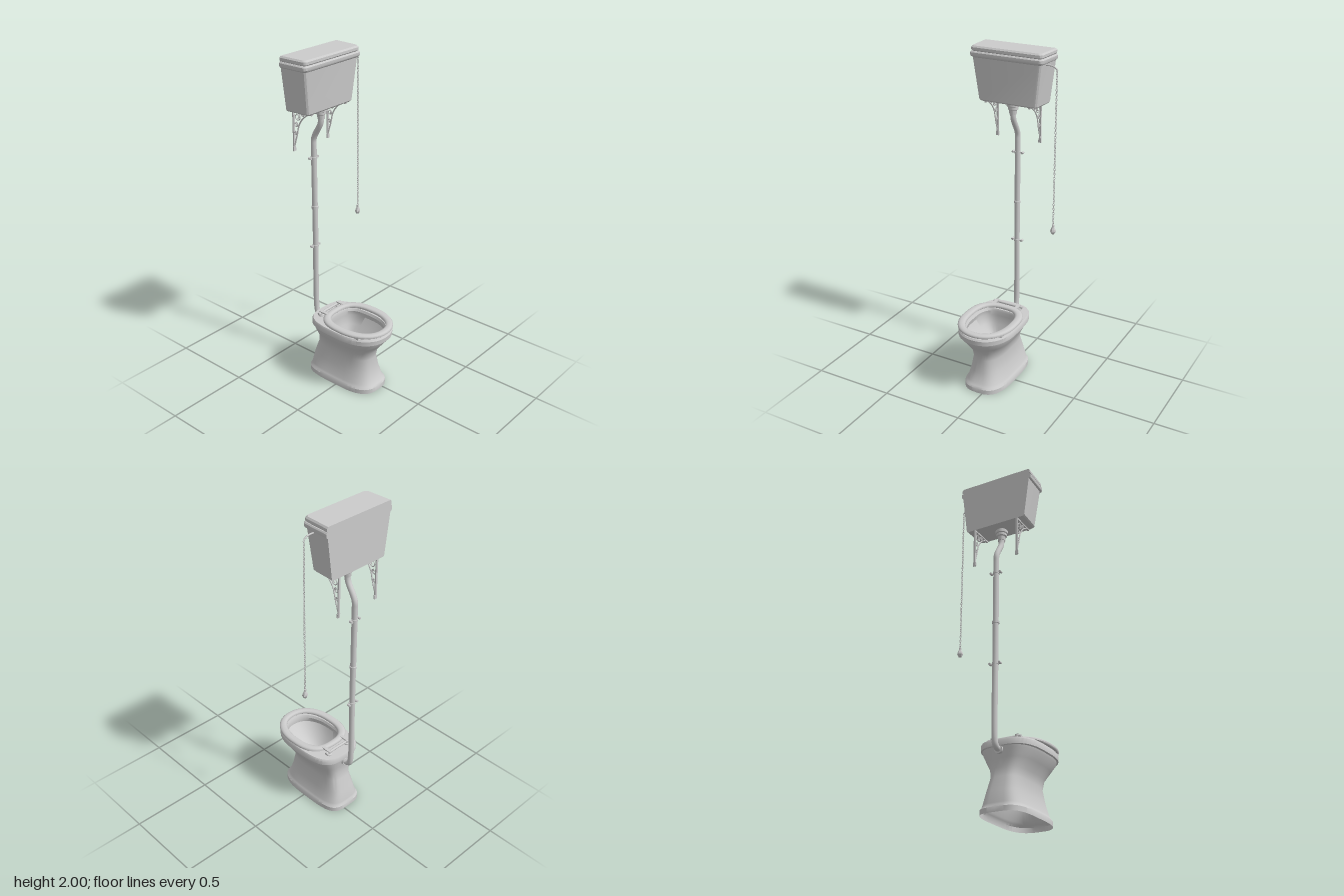
import * as THREE from 'three';
import { toCreasedNormals } from 'three/addons/utils/BufferGeometryUtils.js';

const CX = -0.034; // centre line of bowl, pipe and cistern
const WALL = -0.285; // plane of the wall behind
const grey = new THREE.MeshStandardMaterial({ color: 0xcccccc });
const greyDouble = new THREE.MeshStandardMaterial({ color: 0xcccccc, side: THREE.DoubleSide });

function add(parent, name, geometry, x = 0, y = 0, z = 0, material = grey) {
  const mesh = new THREE.Mesh(geometry, material);
  mesh.name = name;
  mesh.position.set(x, y, z);
  parent.add(mesh);
  return mesh;
}

// Skin between rings of equal point count, clockwise seen from above
function loft(rings, { capStart = false, capEnd = false, crease = 0.6 } = {}) {
  const n = rings[0].length, pos = rings.flat(2), index = [];
  for (let r = 0; r < rings.length - 1; r++) {
    for (let i = 0; i < n; i++) {
      const a = r * n + i, b = r * n + (i + 1) % n;
      index.push(a, a + n, b, b, a + n, b + n);
    }
  }
  const cap = (r, flip) => {
    const c = [0, 1, 2].map(k => rings[r].reduce((s, p) => s + p[k], 0) / n);
    const ci = pos.length / 3;
    pos.push(...c);
    for (let i = 0; i < n; i++) {
      const a = r * n + i, b = r * n + (i + 1) % n;
      if (flip) index.push(ci, a, b); else index.push(ci, b, a);
    }
  };
  if (capStart) cap(0, true);
  if (capEnd) cap(rings.length - 1, false);
  const g = new THREE.BufferGeometry();
  g.setAttribute('position', new THREE.Float32BufferAttribute(pos, 3));
  g.setIndex(index);
  return toCreasedNormals(g, crease);
}

// Egg-shaped plan: half width w, front zf, back zb, widest at zc
function egg(y, w, zf, zb, zc = 0.06, nf = 2.2, nb = 3.4, n = 48) {
  const pw = (v, e) => Math.sign(v) * Math.abs(v) ** (2 / e);
  return Array.from({ length: n }, (_, i) => {
    const a = i / n * Math.PI * 2, c = Math.cos(a), s = Math.sin(a);
    const e = s > 0 ? nf : nb;
    return [CX + w * pw(c, e), y, zc + (s > 0 ? zf - zc : zc - zb) * pw(s, e)];
  });
}

// Cistern plan: flat back on the wall, rounded front corners
function tankRing(y, w, zf, r = 0.022) {
  const half = [[w, WALL], [w - 0.006, zf - r]];
  for (const a of [30, 60, 90]) {
    const t = a * Math.PI / 180;
    half.push([w - 0.006 - r + r * Math.cos(t), zf - r + r * Math.sin(t)]);
  }
  const left = half.map(([x, z]) => [-x, z]).reverse();
  return [...half, ...left].map(([x, z]) => [CX + x, y, z]);
}

function tube(points, radius, steps = 40, sides = 16) {
  const curve = new THREE.CatmullRomCurve3(points.map(p => new THREE.Vector3(...p)), false, 'centripetal');
  return new THREE.TubeGeometry(curve, steps, radius, sides);
}

const lathe = (profile, sides = 20) => toCreasedNormals(
  new THREE.LatheGeometry(profile.map(p => new THREE.Vector2(...p)), sides), 0.6);

function makePan() {
  const pan = new THREE.Group();
  pan.name = 'pan';
  // Outside from foot to rim, then over the rim and down into the bowl
  add(pan, 'bowl', loft([
    egg(0, 0.135, 0.23, -0.258, 0, 3, 4),
    egg(0.028, 0.135, 0.23, -0.258, 0, 3, 4),
    egg(0.04, 0.127, 0.222, -0.25, 0, 3, 4),
    egg(0.052, 0.121, 0.21, -0.248, 0, 3, 4),
    egg(0.12, 0.104, 0.193, -0.235, 0, 2.8, 4),
    egg(0.2, 0.092, 0.18, -0.208, 0, 2.6, 3.8),
    egg(0.25, 0.103, 0.19, -0.2, 0.02, 2.4, 3.6),
    egg(0.3, 0.133, 0.228, -0.206, 0.04, 2.3, 3.5),
    egg(0.345, 0.158, 0.264, -0.216),
    egg(0.358, 0.162, 0.268, -0.218),
    egg(0.362, 0.171, 0.279, -0.222),
    egg(0.39, 0.172, 0.281, -0.222),
    egg(0.4, 0.166, 0.274, -0.217),
    egg(0.4, 0.13, 0.243, -0.1),
    egg(0.385, 0.123, 0.235, -0.095),
    egg(0.355, 0.13, 0.235, -0.1),
    egg(0.3, 0.108, 0.188, -0.09, 0.03),
    egg(0.24, 0.065, 0.1, -0.07, 0),
    egg(0.2, 0.035, 0.04, -0.052, -0.01, 2.4, 3),
    egg(0.1, 0.03, 0.02, -0.05, -0.015, 2.4, 3),
  ], { capEnd: true }), 0, 0, 0, greyDouble);

  const so = (y, d) => egg(y, 0.175 - d, 0.285 - d, -0.135 + d, 0.07, 2.1, 2.7);
  const si = (y, d) => egg(y, 0.125 + d, 0.24 + d, -0.093 - d, 0.06, 2.3, 2.8);
  add(pan, 'seat', loft([
    si(0.408, 0.005), so(0.408, 0.006), so(0.413, 0), so(0.42, 0), so(0.427, 0.006),
    so(0.43, 0.016), si(0.43, 0.014), si(0.427, 0.006), si(0.42, 0), si(0.413, 0), si(0.408, 0.005),
  ], { crease: 0.9 }));

  // Seat buffers, hinge posts and hinge rod
  for (const side of [-1, 1]) {
    for (const z of [-0.04, 0.17]) {
      add(pan, 'seatBuffer', new THREE.BoxGeometry(0.016, 0.012, 0.035), CX + side * 0.138, 0.404, z);
    }
    add(pan, 'hingePost', lathe([[0, 0], [0.018, 0], [0.018, 0.006], [0.011, 0.01], [0.011, 0.026], [0, 0.03]]),
      CX + side * 0.075, 0.4, -0.16);
    add(pan, 'hingeStrap', new THREE.BoxGeometry(0.02, 0.008, 0.06), CX + side * 0.075, 0.426, -0.135);
  }
  add(pan, 'hingeRod', new THREE.CylinderGeometry(0.008, 0.008, 0.2, 12).rotateZ(Math.PI / 2), CX, 0.417, -0.16);
  return pan;
}

function makeCistern() {
  const cistern = new THREE.Group();
  cistern.name = 'cistern';
  add(cistern, 'tank', loft([
    tankRing(1.688, 0.184, -0.138), tankRing(1.696, 0.191, -0.131),
    tankRing(1.935, 0.222, -0.117), tankRing(1.942, 0.231, -0.109),
    tankRing(1.948, 0.233, -0.106), tankRing(1.963, 0.233, -0.106),
    tankRing(1.97, 0.228, -0.111),
  ], { capStart: true, capEnd: true, crease: 0.5 }));
  add(cistern, 'lid', loft([
    tankRing(1.97, 0.223, -0.117), tankRing(1.976, 0.228, -0.111),
    tankRing(1.991, 0.228, -0.111), tankRing(2, 0.221, -0.118),
  ], { capStart: true, capEnd: true, crease: 0.5 }));
  return cistern;
}

// Scrolled wall bracket, drawn in the y-z plane
function makeBracket(x) {
  const bracket = new THREE.Group();
  bracket.name = 'bracket';
  bracket.position.x = x;
  add(bracket, 'wallLeg', new THREE.BoxGeometry(0.012, 0.235, 0.008), 0, 1.57, WALL + 0.004);
  add(bracket, 'wallFoot', new THREE.BoxGeometry(0.018, 0.025, 0.008), 0, 1.46, WALL + 0.005);
  add(bracket, 'arm', new THREE.BoxGeometry(0.012, 0.008, 0.145), 0, 1.684, WALL + 0.0725);
  add(bracket, 'brace', tube([[0, 1.682, -0.165], [0, 1.655, -0.205], [0, 1.61, -0.238],
    [0, 1.54, -0.258], [0, 1.475, -0.279]], 0.004, 24, 6));
  for (const [y, z, r] of [[1.652, -0.251, 0.023], [1.606, -0.263, 0.015], [1.555, -0.269, 0.011], [1.67, -0.213, 0.011]]) {
    const spiral = Array.from({ length: 15 }, (_, i) => {
      const a = i / 14 * Math.PI * 3, q = r * (1 - 0.65 * i / 14);
      return [0, y + q * Math.cos(a), z + q * Math.sin(a)];
    });
    add(bracket, 'scroll', tube(spiral, 0.003, 32, 5));
  }
  return bracket;
}

function makeFlushPipe() {
  const pipe = new THREE.Group();
  pipe.name = 'flushPipe';
  const z = -0.266;
  add(pipe, 'pipe', tube([[CX, 1.65, -0.206], [CX, 1.6, -0.208], [CX, 1.575, -0.216], [CX, 1.51, -0.254],
    [CX, 1.48, -0.265], [CX, 1.44, z], [CX, 0.9, z], [CX, 0.38, z], [CX, 0.355, -0.259],
    [CX, 0.343, -0.243], [CX, 0.34, -0.2]], 0.0165, 150));
  add(pipe, 'tankNut', lathe([[0.017, 1.615], [0.021, 1.615], [0.023, 1.64], [0.03, 1.645], [0.03, 1.66],
    [0.036, 1.663], [0.036, 1.68], [0.028, 1.684], [0.028, 1.695]]), CX, 0, -0.206);
  add(pipe, 'panCollar', new THREE.CylinderGeometry(0.022, 0.024, 0.02, 20).rotateX(Math.PI / 2), CX, 0.34, -0.22);
  add(pipe, 'joint', lathe([[0.016, -0.009], [0.02, -0.007], [0.02, 0.007], [0.016, 0.009]]), CX, 1.06, z);
  // Wall clips with a screw on each side
  for (const y of [1.37, 0.81]) {
    add(pipe, 'clipBand', lathe([[0.016, -0.007], [0.019, -0.006], [0.019, 0.006], [0.016, 0.007]]), CX, y, z);
    add(pipe, 'clipStrap', new THREE.BoxGeometry(0.06, 0.008, 0.005), CX, y, z);
    for (const s of [-1, 1]) {
      add(pipe, 'clipScrew', new THREE.CylinderGeometry(0.007, 0.007, 0.02, 10).rotateX(Math.PI / 2), CX + s * 0.03, y, z - 0.004);
    }
  }
  return pipe;
}

function makePullChain() {
  const pull = new THREE.Group();
  pull.name = 'pullChain';
  const x = 0.248, z = -0.178;
  add(pull, 'lever', tube([[0.17, 1.928, z], [0.215, 1.928, z], [0.235, 1.921, z], [x, 1.91, z]], 0.0045, 16, 8));
  const link = new THREE.TorusGeometry(0.0048, 0.0016, 5, 10).scale(1, 1.7, 1);
  for (let i = 0; i < 68; i++) {
    add(pull, 'chainLink', link, x, 1.906 - i * 0.0134, z).rotation.y = (i % 2) * Math.PI / 2;
  }
  // Six-sided drop handle
  add(pull, 'handle', new THREE.LatheGeometry([[0, 0.945], [0.009, 0.947], [0.017, 0.963], [0.015, 0.972],
    [0.007, 0.99], [0.007, 1.003], [0, 1.006]].map(p => new THREE.Vector2(...p)), 6), x, 0, z,
    new THREE.MeshStandardMaterial({ color: 0xcccccc, flatShading: true }));
  return pull;
}

export function createModel() {
  const model = new THREE.Group();
  model.name = 'highLevelToilet';
  model.add(makePan(), makeCistern(), makeFlushPipe(), makePullChain());
  for (const x of [-0.175, 0.102]) model.add(makeBracket(x));
  return model;
}
